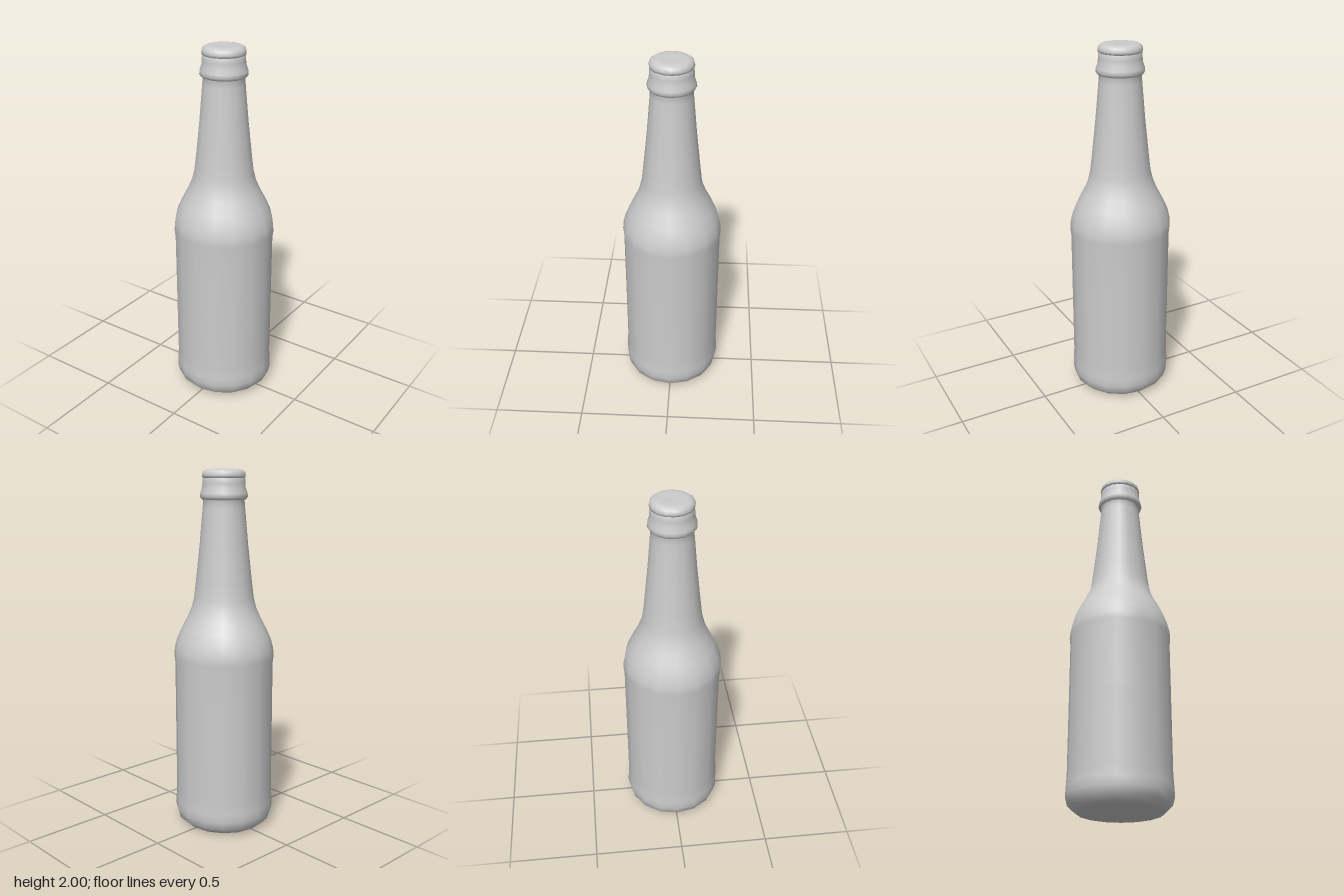
import * as THREE from 'three';

const SIDES = 16;

export function createModel() {
  const group = new THREE.Group();
  group.name = 'bottle';
  const grey = new THREE.MeshStandardMaterial({ color: 0xcccccc });
  grey.name = 'plain grey';

  // Turned part from [radius, height] pairs, bottom to top
  const turned = (name, profile) => {
    const points = profile.map(([r, y]) => new THREE.Vector2(r, y));
    const mesh = new THREE.Mesh(new THREE.LatheGeometry(points, SIDES), grey);
    mesh.name = name;
    group.add(mesh);
  };

  // Base, straight body, shoulder, tapered neck and finish ring
  turned('glassBody', [
    [0, 0.012], [0.2, 0.004], [0.225, 0], [0.245, 0.014], [0.272, 0.04],
    [0.284, 0.085], [0.282, 0.13], [0.278, 0.2], [0.278, 0.6], [0.278, 0.94],
    [0.283, 0.98], [0.28, 1.02], [0.267, 1.075], [0.24, 1.135], [0.205, 1.2],
    [0.181, 1.255], [0.167, 1.31], [0.156, 1.4], [0.134, 1.6], [0.116, 1.8],
    [0.113, 1.838], [0.122, 1.842], [0.131, 1.855], [0.129, 1.873],
    [0.119, 1.9], [0.117, 1.925], [0.116, 1.95], [0.108, 1.958],
  ]);

  // Rounded lid closing the mouth
  turned('cap', [
    [0.106, 1.95], [0.117, 1.956], [0.119, 1.968], [0.115, 1.985],
    [0.1, 1.996], [0.075, 2], [0.04, 1.998], [0, 1.997],
  ]);

  // Cross-section is very slightly narrower front to back
  group.scale.z = 0.972;
  return group;
}
